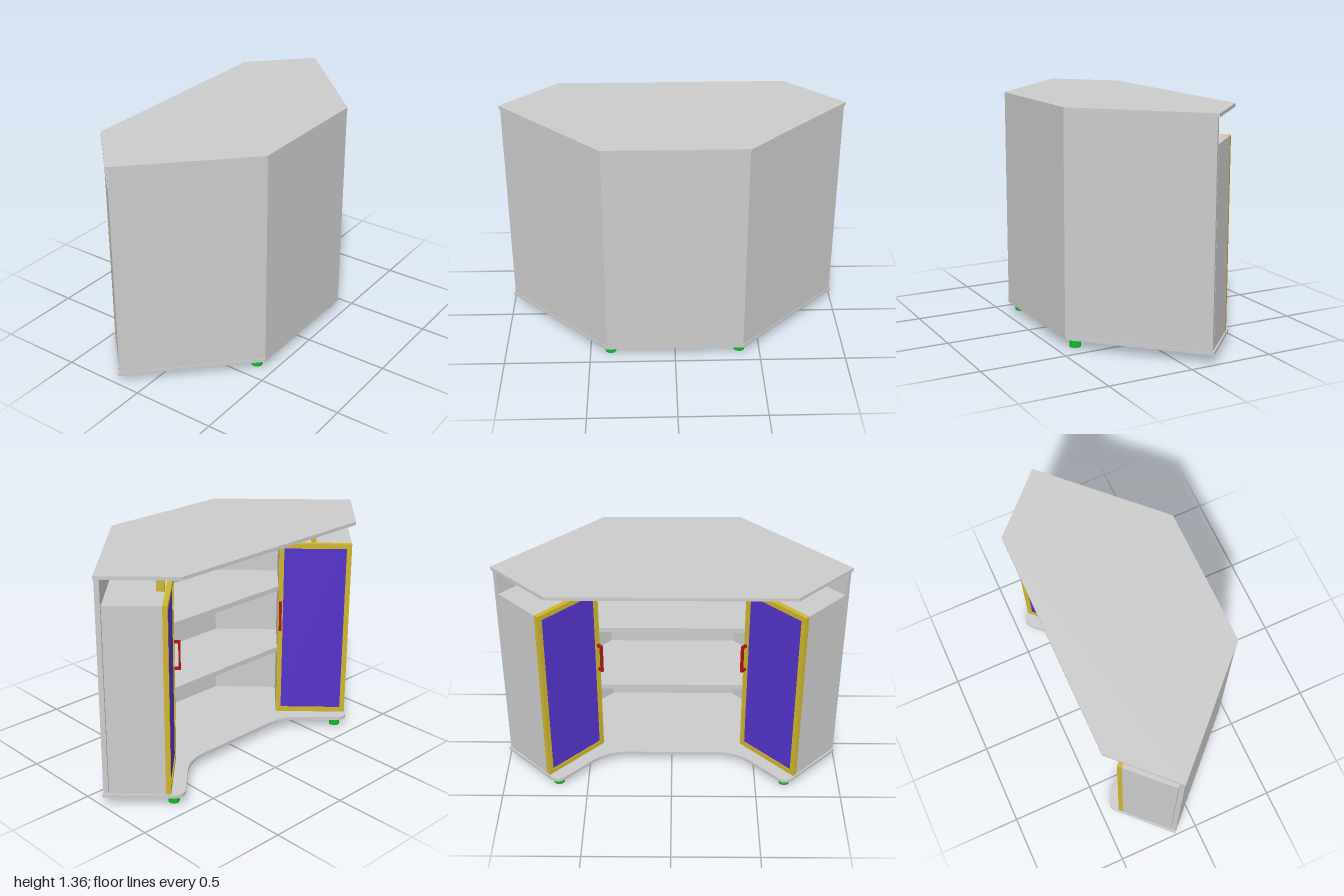
import * as THREE from 'three';

const material = (color) => new THREE.MeshStandardMaterial({ color, flatShading: false });
const grey = material(0xcccccc);
const yellow = material(0xcdb62c);
const blue = material(0x5533cc);
const red = material(0xb01515);
const green = material(0x11bb2a);

function add(parent, name, geometry, mat) {
  const mesh = new THREE.Mesh(geometry, mat);
  mesh.name = name;
  parent.add(mesh);
  return mesh;
}

// Vertical extrusion of a plan shape drawn with y = -z
function slab(shape, y0, y1) {
  return new THREE.ExtrudeGeometry(shape, { depth: y1 - y0, bevelEnabled: false, curveSegments: 10 })
    .rotateX(-Math.PI / 2).translate(0, y0, 0);
}

// Plan shape mirrored about x = 0 from its +x half, listed from front to back
function mirroredPlan(half) {
  const points = [...half, ...half.slice().reverse().map(([x, z]) => [-x, z])];
  return new THREE.Shape(points.map(([x, z]) => new THREE.Vector2(x, -z)));
}

// Box given by its limits on each axis
function span(x0, x1, y0, y1, z0, z1) {
  return new THREE.BoxGeometry(Math.abs(x1 - x0), y1 - y0, z1 - z0)
    .translate((x0 + x1) / 2, (y0 + y1) / 2, (z0 + z1) / 2);
}

// Floor board: straight front, rounded back corners and a curved recess
function baseShape() {
  const s = new THREE.Shape();
  s.moveTo(-0.405, -0.455);
  s.lineTo(0.405, -0.455);
  s.lineTo(1, 0.14);
  s.lineTo(0.717, 0.418);
  s.absarc(0.675, 0.375, 0.06, Math.PI / 4, Math.PI * 3 / 4, false);
  s.lineTo(0.48, 0.265);
  s.quadraticCurveTo(0.395, 0.18, 0.275, 0.18);
  s.lineTo(-0.275, 0.18);
  s.quadraticCurveTo(-0.395, 0.18, -0.48, 0.265);
  s.lineTo(-0.633, 0.418);
  s.absarc(-0.675, 0.375, 0.06, Math.PI / 4, Math.PI * 3 / 4, false);
  s.lineTo(-1, 0.14);
  return s;
}

// Cabinet at the end of a wing; local x runs along the wing, z points outwards
function cabinet(side) {
  const g = new THREE.Group();
  g.name = side > 0 ? 'leftCabinet' : 'rightCabinet';
  g.rotation.y = side * Math.PI / 4;
  const inner = 0.364, outer = 0.7955, bottom = 0.075, top = 1.19;
  const box = (name, u0, u1, y0, y1, n0, n1, mat) =>
    add(g, name, span(side * u0, side * u1, y0, y1, n0, n1), mat);

  box('cabinetBody', inner, outer, bottom, top, 0.258, 0.573, grey);

  // Framed door
  const a = Math.min(side * inner, side * outer), b = Math.max(side * inner, side * outer);
  const rect = (path, m) => path.moveTo(a + m, bottom + m).lineTo(b - m, bottom + m)
    .lineTo(b - m, top - m).lineTo(a + m, top - m).closePath();
  const frame = rect(new THREE.Shape(), 0);
  frame.holes.push(rect(new THREE.Path(), 0.03));
  add(g, 'doorFrame', new THREE.ExtrudeGeometry(frame, { depth: 0.028, bevelEnabled: false })
    .translate(0, 0, 0.23), yellow);
  box('doorPanel', inner + 0.03, outer - 0.03, bottom + 0.03, top - 0.03, 0.236, 0.258, blue);

  // Bracket handle near the inner edge of the door
  const h0 = inner + 0.006, h1 = inner + 0.022;
  box('handleBar', h0, h1, 0.64, 0.82, 0.195, 0.207, red);
  for (const y of [0.64, 0.805]) box('handlePost', h0, h1, y, y + 0.015, 0.207, 0.23, red);

  // Post carrying the counter top
  box('counterPost', 0.555, 0.585, top, 1.335, 0.26, 0.305, yellow);
  return g;
}

export function createModel() {
  const model = new THREE.Group();
  model.name = 'cornerCounter';

  add(model, 'counterTop', slab(mirroredPlan(
    [[0.405, 0.455], [1, -0.14], [0.675, -0.46]]), 1.335, 1.355), grey);
  add(model, 'baseBoard', slab(baseShape(), 0.055, 0.075), grey);

  // Front wall with its two angled wings
  add(model, 'outerWall', slab(mirroredPlan(
    [[0.4, 0.455], [0.99, -0.135], [0.97, -0.155], [0.388, 0.427]]), 0.075, 1.335), grey);

  // Shelves between the cabinets
  for (const y of [0.49, 0.896]) {
    add(model, 'shelf', slab(mirroredPlan(
      [[0.388, 0.427], [0.665, 0.15], [0.465, -0.05]]), y - 0.03, y), grey);
  }

  for (const side of [1, -1]) {
    model.add(cabinet(side));
    for (const [x, z] of [[0.38, 0.383], [0.675, -0.365]]) {
      add(model, 'foot', new THREE.CylinderGeometry(0.032, 0.032, 0.055, 20), green)
        .position.set(side * x, 0.0275, z);
    }
  }
  return model;
}
